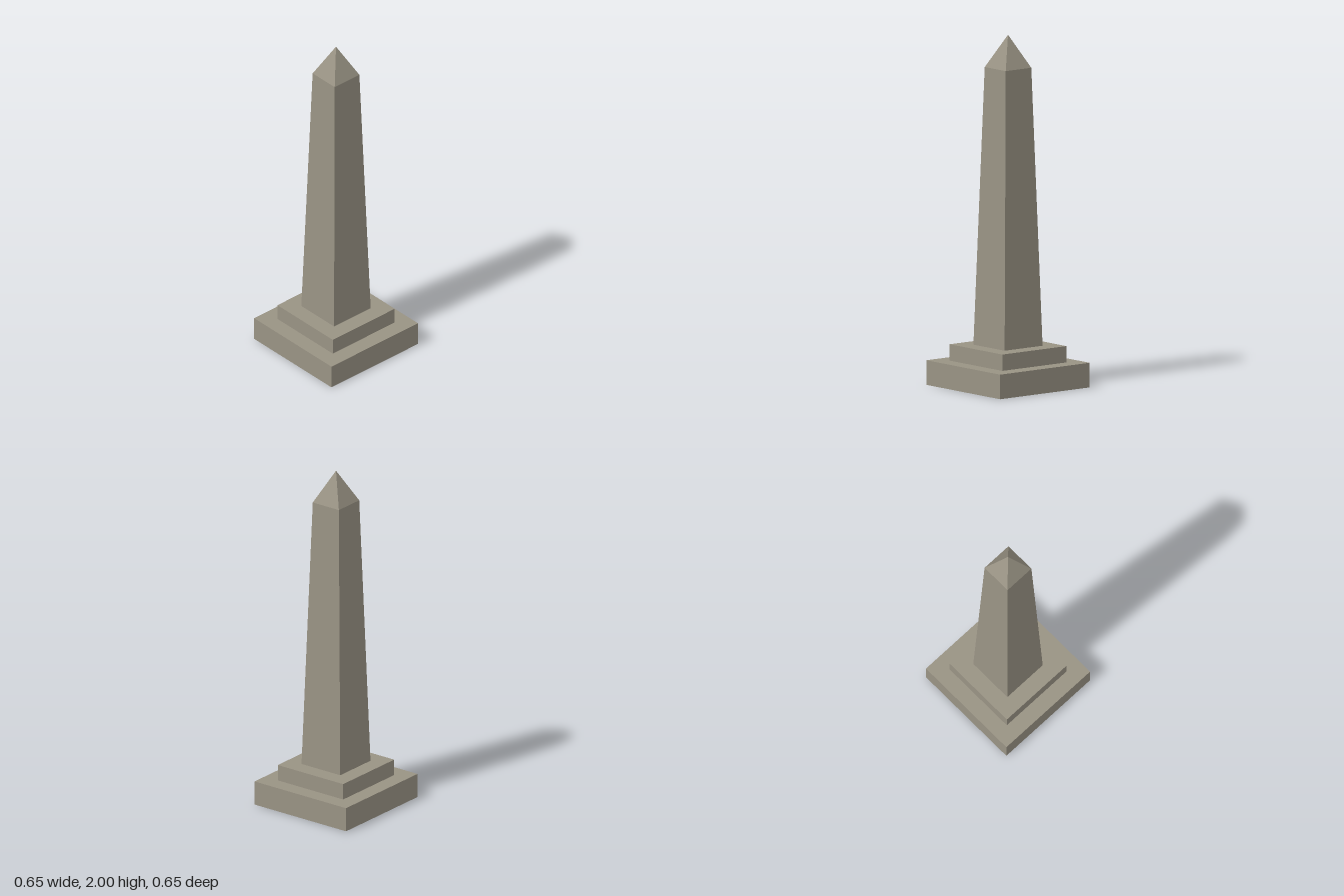
import * as THREE from 'three';

// Square frustum with given bottom and top half-widths, spanning y0..y1
function squareBlock(name, bottomHalf, topHalf, y0, y1, material) {
  const height = y1 - y0;
  const geometry = new THREE.CylinderGeometry(
    topHalf * Math.SQRT2, bottomHalf * Math.SQRT2, height, 4, 1, false, Math.PI / 4);
  geometry.translate(0, y0 + height / 2, 0);
  const mesh = new THREE.Mesh(geometry, material);
  mesh.name = name;
  return mesh;
}

export function createModel() {
  const group = new THREE.Group();
  group.name = 'obelisk';
  const stone = new THREE.MeshStandardMaterial({ color: 0x999384, flatShading: true });

  // name, bottom half-width, top half-width, bottom y, top y
  const parts = [
    ['basePlinth', 0.326, 0.326, 0, 0.14],
    ['upperStep', 0.233, 0.233, 0.14, 0.233],
    ['taperedShaft', 0.138, 0.093, 0.233, 1.814],
    ['pyramidTip', 0.093, 0, 1.814, 2],
  ];
  for (const part of parts) group.add(squareBlock(...part, stone));
  return group;
}
